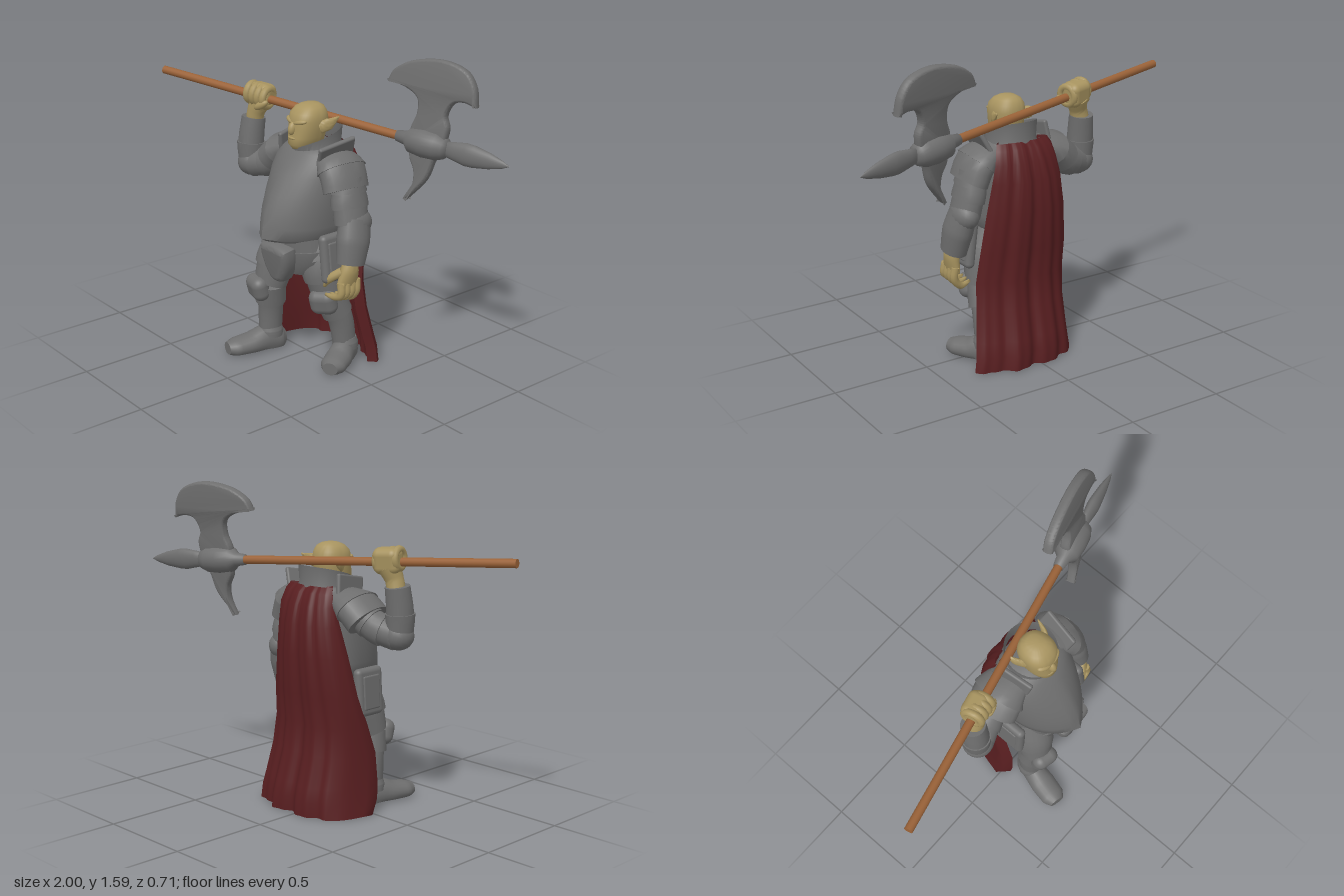
import * as THREE from 'three';
import { toCreasedNormals } from 'three/addons/utils/BufferGeometryUtils.js';
import { RoundedBoxGeometry } from 'three/addons/geometries/RoundedBoxGeometry.js';

const V = (x, y, z) => new THREE.Vector3(x, y, z);
const material = (name, color, side = THREE.FrontSide) => {
  const m = new THREE.MeshStandardMaterial({ color, side });
  m.name = name;
  return m;
};

// Skin a list of point rows; closed rows wrap around, caps close the ends.
function loft(rings, { closed = true, cap = true, crease = 0.65 } = {}) {
  if (cap) {
    const flat = r => {
      const c = r.reduce((s, p) => s.add(p), V(0, 0, 0)).divideScalar(r.length);
      return r.map(() => c.clone());
    };
    rings = [flat(rings[0]), ...rings, flat(rings[rings.length - 1])];
  }
  const n = rings[0].length, index = [];
  for (let i = 0; i < rings.length - 1; i++) {
    for (let j = 0; j < (closed ? n : n - 1); j++) {
      const k = (j + 1) % n, a = i * n + j, b = i * n + k, c = b + n, d = a + n;
      index.push(a, b, c, a, c, d);
    }
  }
  const geo = new THREE.BufferGeometry().setFromPoints(rings.flat());
  geo.setIndex(index);
  geo.computeVertexNormals();
  return toCreasedNormals(geo, crease);
}

// Limb along a smooth path; bands make overlapping armour lames.
function limb(pts, radii, { bands = 0, ref = V(0, 0, 1), seg = 20, flare = 0.09, steps = 12, crease = 0.75 } = {}) {
  const curve = new THREE.CatmullRomCurve3(pts.map(p => V(...p)));
  const ring = (t, k) => {
    const f = t * (radii.length - 1), i = Math.min(Math.floor(f), radii.length - 2);
    const [r0, r1] = [radii[i], radii[i + 1]].map(r => Array.isArray(r) ? r : [r, r]);
    const rs = THREE.MathUtils.lerp(r0[0], r1[0], f - i) * k, rc = THREE.MathUtils.lerp(r0[1], r1[1], f - i) * k;
    const T = curve.getTangent(t), C = ref.clone().addScaledVector(T, -ref.dot(T)).normalize();
    const S = T.clone().cross(C), p = curve.getPoint(t);
    return Array.from({ length: seg }, (_, j) => {
      const a = j / seg * Math.PI * 2;
      return p.clone().addScaledVector(S, rs * Math.sin(a)).addScaledVector(C, rc * Math.cos(a));
    });
  };
  const rings = [];
  if (bands) {
    for (let b = 0; b < bands; b++) for (const f of [0, 0.35, 0.7, 1]) rings.push(ring((b + f) / bands, 1 + flare * (f - 0.5)));
  } else for (let i = 0; i <= steps; i++) rings.push(ring(i / steps, 1));
  return loft(rings, { crease });
}

// Horizontal sections: [y, centre x, centre z, half width, front depth, back depth, keel]
function stack(rows, crease = 0.65, seg = 40) {
  const pow = v => Math.sign(v) * Math.abs(v) ** 0.85;
  return loft(rows.map(([y, cx, cz, rx, front, back, keel = 0]) => Array.from({ length: seg }, (_, j) => {
    const a = j / seg * Math.PI * 2, s = pow(Math.sin(a)), c = pow(Math.cos(a));
    const z = c > 0 ? front * (c * (1 - keel) + keel * (1 - Math.abs(s))) : back * c;
    return V(cx + rx * s, y, cz + z);
  })), { crease });
}

export function createModel() {
  const steel = material('steel', 0x6e6e6e), skin = material('skin', 0xa89460);
  const wood = material('wood', 0x9a6238), cloth = material('red cloth', 0x581e20, THREE.DoubleSide);
  const navy = material('dark hem', 0x28263c, THREE.DoubleSide), plate = material('open steel plate', 0x6e6e6e, THREE.DoubleSide);
  const model = new THREE.Group();
  const part = (name, geo, mat, pos = [0, 0, 0], rot = [0, 0, 0], scale = [1, 1, 1], parent = model) => {
    const m = new THREE.Mesh(geo, mat);
    m.name = name;
    m.position.set(...pos); m.rotation.set(...rot); m.scale.set(...scale);
    parent.add(m);
  };
  const ball = new THREE.SphereGeometry(1, 20, 14);

  // Torso
  part('breastplate', stack([
    [0.68, 0.02, 0.0, 0.17, 0.27, 0.12, 0.25], [0.695, 0.02, 0.0, 0.185, 0.295, 0.13, 0.3],
    [0.75, 0.02, 0.0, 0.193, 0.288, 0.14, 0.3], [0.82, 0.02, 0.0, 0.2, 0.27, 0.15, 0.3],
    [0.90, 0.02, -0.01, 0.205, 0.245, 0.15, 0.28], [1.0, 0.02, -0.02, 0.205, 0.2, 0.15, 0.22],
    [1.06, 0.02, -0.03, 0.195, 0.165, 0.14, 0.15], [1.1, 0.025, -0.03, 0.17, 0.13, 0.13, 0.05], [1.125, 0.025, -0.03, 0.12, 0.1, 0.11]], 0.9), steel);
  part('hips', stack([
    [0.5, 0.02, 0.05, 0.14, 0.12, 0.12], [0.57, 0.02, 0.04, 0.19, 0.16, 0.15], [0.63, 0.02, 0.03, 0.195, 0.18, 0.15],
    [0.63, 0.02, 0.03, 0.185, 0.175, 0.145], [0.71, 0.02, 0.03, 0.175, 0.19, 0.15]]), steel);
  const shield = new THREE.Shape().moveTo(-0.095, 0.085);
  shield.quadraticCurveTo(0, 0.115, 0.095, 0.085);
  shield.quadraticCurveTo(0.105, 0.0, 0.045, -0.085);
  shield.quadraticCurveTo(0, -0.11, -0.045, -0.085);
  shield.quadraticCurveTo(-0.105, 0.0, -0.095, 0.085);
  part('groinPlate', toCreasedNormals(new THREE.ExtrudeGeometry(shield,
    { depth: 0.025, bevelThickness: 0.035, bevelSize: 0.03, bevelOffset: -0.028, bevelSegments: 5 }), 0.9), steel, [0.045, 0.565, 0.19], [0.15, 0, 0]);
  for (const [x, r] of [[-0.205, -0.06], [0.255, 0.12]]) {
    part('hipPlate', new RoundedBoxGeometry(0.05, 0.24, 0.17, 3, 0.024), steel, [x, 0.61, 0.03], [0, 0, r]);
    part('hipPlateRidge', new RoundedBoxGeometry(0.02, 0.17, 0.11, 2, 0.009), steel, [x + Math.sign(x) * 0.02, 0.61, 0.03], [0, 0, r]);
  }

  // Collar, low at the throat and high at the nape
  const collar = [[0.15, 0], [0.125, 0.5], [0.13, 1]].map(([r, h]) => Array.from({ length: 32 }, (_, j) => {
    const a = j / 32 * Math.PI * 2, top = 1.115 + 0.11 * Math.sqrt((1 - Math.cos(a)) / 2);
    return V(0.03 + r * Math.sin(a), THREE.MathUtils.lerp(1.06, top, h), -0.035 + r * Math.cos(a));
  }));
  part('collar', loft(collar, { cap: false }), plate);

  // Head
  part('skull', stack([
    [1.08, 0.025, -0.01, 0.06, 0.07, 0.06], [1.115, 0.022, 0.01, 0.052, 0.088, 0.07], [1.135, 0.022, 0.01, 0.066, 0.102, 0.08],
    [1.17, 0.023, 0.01, 0.076, 0.1, 0.085], [1.21, 0.025, 0.01, 0.081, 0.092, 0.095], [1.25, 0.025, 0.01, 0.085, 0.092, 0.1],
    [1.285, 0.025, 0.01, 0.08, 0.08, 0.094], [1.31, 0.025, 0.005, 0.063, 0.06, 0.075],
    [1.323, 0.025, 0.0, 0.04, 0.04, 0.05], [1.328, 0.025, 0, 0.015, 0.015, 0.02]], 1.5), skin);
  part('nose', ball, skin, [0.02, 1.215, 0.1], [-0.3, 0, 0], [0.019, 0.034, 0.024]);
  part('mouth', ball, skin, [0.02, 1.167, 0.09], [0, 0, 0], [0.04, 0.012, 0.024]);
  for (const s of [-1, 1]) {
    part('brow', ball, skin, [0.022 + s * 0.034, 1.248, 0.082], [0, s * 0.3, s * 0.2], [0.04, 0.014, 0.02]);
    part('ear', limb([[0.025 + s * 0.075, 1.215, 0.0], [0.025 + s * 0.1, 1.235, -0.04], [0.025 + s * 0.115, 1.265, -0.09]],
      [[0.014, 0.03], [0.013, 0.03], [0.003, 0.003]], { ref: V(0, 1, 0), crease: 1.5 }), skin);
  }

  // Shoulders: a broad domed plate over each arm, with an upright neck guard
  part('rightPauldron', limb([[-0.1, 1.08, -0.04], [-0.2, 1.035, -0.04], [-0.26, 0.98, -0.03]],
    [[0.05, 0.1], [0.088, 0.135], [0.088, 0.125]], { bands: 2, flare: 0.06 }), steel);
  part('leftPauldron', limb([[0.14, 1.09, -0.04], [0.225, 1.03, -0.035], [0.265, 0.94, -0.03]],
    [[0.05, 0.1], [0.082, 0.135], [0.076, 0.125]], { bands: 2, flare: 0.06 }), steel);
  part('rightShoulderFin', new RoundedBoxGeometry(0.024, 0.13, 0.2, 2, 0.01), steel, [-0.125, 1.115, -0.02], [0.2, 0.15, -0.15]);
  part('leftShoulderFin', new RoundedBoxGeometry(0.024, 0.11, 0.2, 2, 0.01), steel, [0.2, 1.12, -0.02], [0.2, -0.15, -0.45]);

  // Raised right arm
  part('rightUpperArm', limb([[-0.22, 1.01, -0.04], [-0.31, 0.95, -0.02], [-0.41, 0.92, 0.015]], [0.08, 0.078, 0.07], { bands: 3 }), steel);
  part('rightElbow', ball, steel, [-0.415, 0.925, 0.015], [0, 0, 0.3], [0.078, 0.072, 0.075]);
  part('rightForearm', limb([[-0.42, 0.9, 0.015], [-0.425, 1.03, 0.015], [-0.42, 1.16, 0.0]], [0.066, 0.069, 0.058], { bands: 2 }), steel);
  part('rightWrist', limb([[-0.415, 1.13, 0], [-0.4, 1.19, 0], [-0.38, 1.25, -0.015]], [0.045, 0.045, 0.055]), skin);

  // Hanging left arm
  part('leftUpperArm', limb([[0.25, 1.0, -0.05], [0.27, 0.89, -0.045], [0.295, 0.78, -0.04]], [0.078, [0.075, 0.1], [0.068, 0.088]], { bands: 3 }), steel);
  part('leftElbow', ball, steel, [0.305, 0.78, -0.05], [0, 0, 0.2], [0.068, 0.075, 0.095]);
  part('leftForearm', limb([[0.305, 0.8, -0.05], [0.325, 0.7, -0.025], [0.335, 0.59, 0.0]], [[0.062, 0.085], [0.07, 0.09], [0.062, 0.075]]), steel);
  part('leftPalm', limb([[0.335, 0.62, 0], [0.342, 0.56, 0.01], [0.335, 0.49, 0.02]], [0.036, [0.036, 0.05], [0.028, 0.062]]), skin);
  for (let i = 0; i < 4; i++) {
    const z = -0.03 + i * 0.032;
    part('leftFinger', limb([[0.345, 0.51, z], [0.35, 0.45, z + 0.004], [0.31, 0.405 + i * 0.008, z + 0.01], [0.255, 0.415 + i * 0.004, z + 0.02]],
      [0.02, 0.02, 0.018, 0.008], { seg: 10, crease: 1.5 }), skin);
  }
  part('leftThumb', limb([[0.33, 0.56, 0.045], [0.285, 0.52, 0.085], [0.25, 0.47, 0.09]], [0.024, 0.021, 0.008], { ref: V(0, 1, 0), seg: 10, crease: 1.5 }), skin);

  // Legs: the right one steps forward, the left turns outward
  const legs = [
    { side: 'right', hip: [-0.08, 0.66, 0.04], mid: [-0.11, 0.52, 0.09], knee: [-0.125, 0.38, 0.13], calf: [-0.145, 0.24, 0.115], ankle: [-0.15, 0.08, 0.115], turn: -0.22, len: 0.17 },
    { side: 'left', hip: [0.11, 0.66, 0.02], mid: [0.155, 0.52, 0.02], knee: [0.175, 0.38, 0.0], calf: [0.195, 0.24, -0.06], ankle: [0.205, 0.08, -0.085], turn: 0.5, len: 0.14 }];
  for (const { side, hip, mid, knee, calf, ankle, turn, len } of legs) {
    const low = knee.map((v, i) => THREE.MathUtils.lerp(v, calf[i], 0.75));
    part(side + 'Thigh', limb([hip, mid, knee], [0.105, [0.1, 0.115], 0.08], { bands: 3, flare: 0.1 }), steel);
    part(side + 'KneeCuff', limb([knee, low], [0.08, 0.078], { steps: 3 }), steel);
    part(side + 'Greave', limb([knee, calf, ankle], [0.07, 0.064, [0.054, 0.06]]), steel);
    const dx = Math.sin(turn), dz = Math.cos(turn);
    part(side + 'Kneecap', new RoundedBoxGeometry(0.14, 0.13, 0.09, 5, 0.044), steel, [knee[0] + dx * 0.07, 0.365, knee[2] + dz * 0.07], [0.25, turn, 0]);
    const along = (t, y) => [ankle[0] + dx * t, y, ankle[2] + dz * t];
    const foot = limb([along(-0.08, 0.05), along(-0.05, 0.05), along(0.03, 0.06), along(len * 0.65, 0.05), along(len + 0.03, 0.045), along(len + 0.07, 0.045)],
      [[0.03, 0.04], [0.052, 0.075], [0.06, 0.075], [0.068, 0.055], [0.064, 0.045], [0.04, 0.032]], { ref: V(0, 1, 0), steps: 20, crease: 0.9 });
    const p = foot.attributes.position;
    for (let i = 0; i < p.count; i++) p.setY(i, Math.max(p.getY(i), 0.012));
    part(side + 'Boot', toCreasedNormals(foot, 0.8), steel);
    part(side + 'AnkleCuff', limb([along(0, 0.08), along(0, 0.11), along(0, 0.14)], [0.066, 0.066, 0.056]), steel);
  }

  // Cape profile, bottom to top: [y, left x, right x, back z, left curl, right curl]
  const profile = [
    [0.006, -0.285, 0.335, -0.275, 0.23, 0.11], [0.08, -0.28, 0.325, -0.275, 0.27, 0.11], [0.15, -0.275, 0.315, -0.262, 0.27, 0.11],
    [0.3, -0.265, 0.295, -0.225, 0.23, 0.1], [0.45, -0.255, 0.285, -0.21, 0.17, 0.1], [0.6, -0.24, 0.27, -0.23, 0.14, 0.1],
    [0.8, -0.21, 0.24, -0.245, 0.12, 0.1], [0.95, -0.18, 0.215, -0.238, 0.09, 0.08], [1.04, -0.155, 0.2, -0.215, 0.06, 0.05],
    [1.1, -0.135, 0.185, -0.188, 0.04, 0.04], [1.13, -0.12, 0.17, -0.16, 0.03, 0.03]];
  const sheet = inset => profile.map(([y, x0, x1, zb, c0, c1], i) => Array.from({ length: 49 }, (_, j) => {
    const u = j / 24 - 1, fold = 0.014 * Math.sin(u * 11 + 1 + i * 0.1) + 0.006 * Math.sin(u * 24 + 1) - 0.015 * u;
    const z = zb + (u < 0 ? c0 * Math.abs(u) ** 5 : c1 * u ** 2.6) + fold * (1 - i * 0.085);
    return V(THREE.MathUtils.lerp(x0, x1, (u + 1) / 2) - Math.sign(u) * inset * u * u, y, z + inset);
  }));
  const outer = sheet(0), inner = sheet(0.035);
  const rings = inner.map((row, i) => [...row, ...outer[i].slice().reverse()]);
  part('cape', loft(rings, { cap: false, crease: 1.2 }), cloth);
  part('capeHem', loft([outer[0], inner[0]], { closed: false, cap: false }), navy);

  // Pole axe, built along its own x axis with the head at the origin
  const X = V(1, -0.07, -0.25).normalize(), Z = X.clone().cross(V(0, 1, -0.12)).normalize();
  const axe = new THREE.Group();
  axe.name = 'poleAxe';
  axe.quaternion.setFromRotationMatrix(new THREE.Matrix4().makeBasis(X, Z.clone().cross(X), Z));
  axe.position.set(0.57, 1.205, -0.243);
  model.add(axe);
  const onAxe = (name, geo, mat, pos, rot, scale) => part(name, geo, mat, pos, rot, scale, axe);
  const P = (x, y) => new THREE.Vector2((x - 0.57) * 1.033, y - 1.205 + 0.07 * (x - 0.57));
  const lathe = pts => new THREE.LatheGeometry(pts.map(q => new THREE.Vector2(...q)), 24).rotateZ(-Math.PI / 2);
  onAxe('pole', new THREE.CylinderGeometry(0.021, 0.021, 1.52, 16).rotateZ(Math.PI / 2), wood, [-0.861, 0, 0]);
  onAxe('socket', lathe([[0, -0.15], [0.027, -0.15], [0.034, -0.1], [0.062, -0.07], [0.07, 0], [0.066, 0.07], [0.05, 0.11], [0.028, 0.125], [0, 0.128]]), steel);
  onAxe('spearPoint', lathe([[0, 0.1], [0.036, 0.115], [0.044, 0.16], [0.054, 0.22], [0.052, 0.26], [0.038, 0.34], [0.017, 0.41], [0, 0.445]]), steel, [0, 0, 0], [0, 0, 0], [1, 1, 0.55]);
  const edge = (shape, ...q) => shape.splineThru(q.map(c => P(...c)));
  const start = (x, y) => new THREE.Shape().moveTo(P(x, y).x, P(x, y).y);
  const blade = start(0.5, 1.2);
  edge(blade, [0.495, 1.27], [0.515, 1.34], [0.505, 1.41], [0.44, 1.45], [0.34, 1.47]);
  edge(blade, [0.37, 1.53], [0.46, 1.58], [0.6, 1.6], [0.72, 1.57], [0.78, 1.5], [0.8, 1.41]);
  edge(blade, [0.74, 1.425], [0.685, 1.41], [0.66, 1.35], [0.68, 1.29], [0.67, 1.2]);
  const spike = start(0.66, 1.2);
  edge(spike, [0.635, 1.13], [0.605, 1.03], [0.52, 0.92]);
  edge(spike, [0.545, 1.0], [0.54, 1.07], [0.51, 1.13], [0.5, 1.2]);
  for (const [name, shape] of [['axeBlade', blade], ['backSpike', spike]]) {
    onAxe(name, toCreasedNormals(new THREE.ExtrudeGeometry(shape,
      { depth: 0.014, bevelThickness: 0.018, bevelSize: 0.012, bevelOffset: -0.011, bevelSegments: 3, curveSegments: 24 }), 0.8), steel, [0, 0, -0.007]);
  }

  // Fist closed around the pole
  onAxe('fist', new RoundedBoxGeometry(0.135, 0.125, 0.1, 4, 0.035), skin, [-0.975, 0.008, -0.01]);
  for (let i = 0; i < 4; i++) {
    onAxe('fistFinger', new THREE.TorusGeometry(0.044, 0.019, 10, 20).rotateY(Math.PI / 2), skin, [-1.026 + i * 0.034, 0.014 - i * 0.003, 0.004]);
  }
  onAxe('fistThumb', ball, skin, [-0.93, -0.03, 0.045], [0, 0, 0.6], [0.045, 0.02, 0.02]);
  return model;
}
